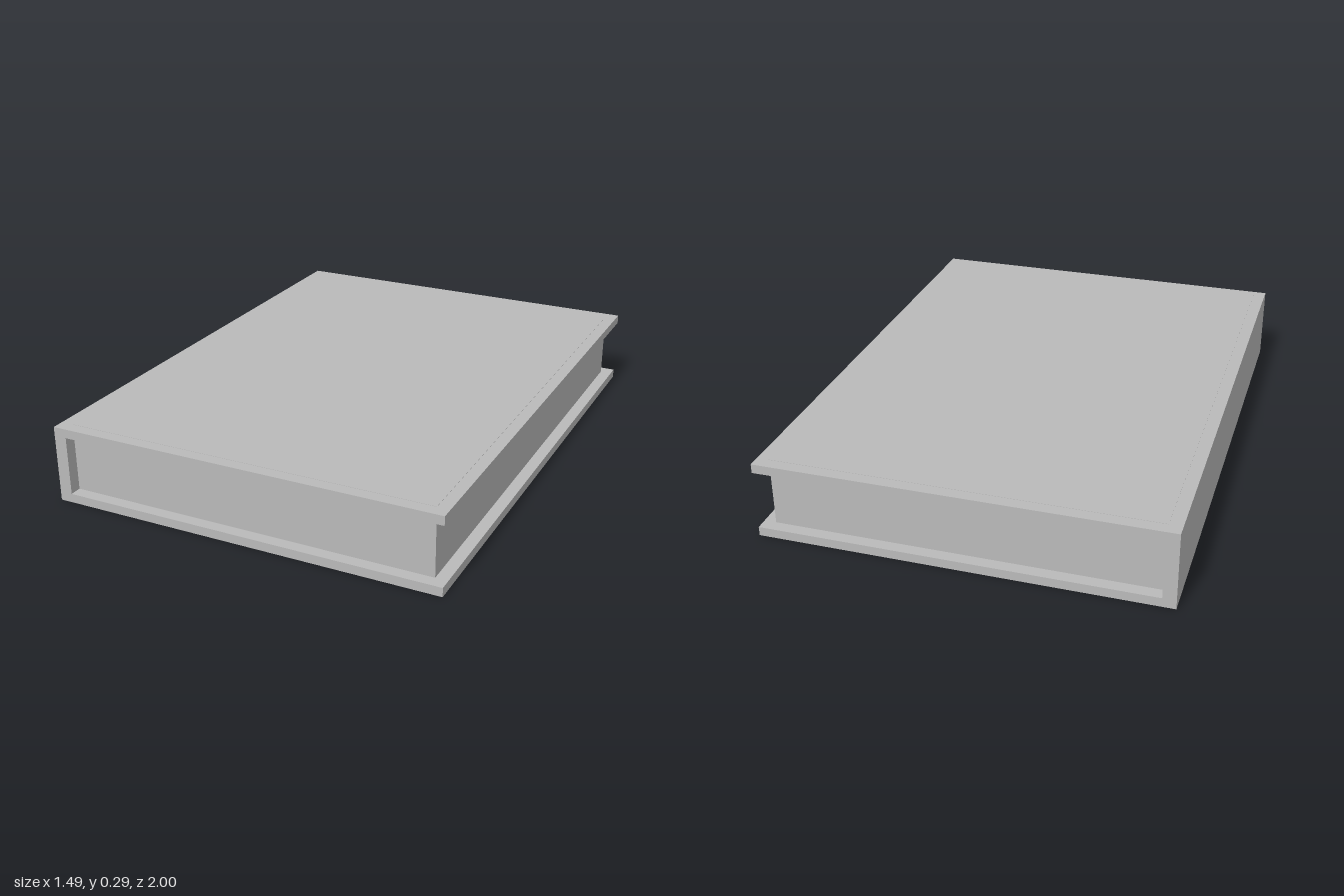
import * as THREE from 'three';

export function createModel() {
  const book = new THREE.Group();
  book.name = 'book';
  const grey = new THREE.MeshStandardMaterial({ color: 0xbababa });
  grey.name = 'plain grey';

  const W = 0.745, H = 0.29, D = 1;      // half width, height, half depth
  const board = 0.034, spineX = -0.697, pageX = 0.70, pageZ = 0.955;

  const add = (name, geometry, x, y, z) => {
    const mesh = new THREE.Mesh(geometry, grey);
    mesh.name = name;
    mesh.position.set(x, y, z);
    book.add(mesh);
  };

  // Cover: two boards joined by the spine, a C-shaped profile drawn along z
  const profile = new THREE.Shape([
    [-W, 0], [W, 0], [W, board], [spineX, board],
    [spineX, H - board], [W, H - board], [W, H], [-W, H],
  ].map(([x, y]) => new THREE.Vector2(x, y)));
  add('cover', new THREE.ExtrudeGeometry(profile, { depth: 2 * D, bevelEnabled: false }), 0, 0, -D);

  // Page block, set back from the cover's open edges
  add('pages', new THREE.BoxGeometry(pageX - spineX, H - 2 * board, 2 * pageZ),
    (pageX + spineX) / 2, H / 2, 0);

  // Thin panel on the front board
  add('coverPanel', new THREE.BoxGeometry(pageX - spineX, 0.002, 2 * pageZ),
    (pageX + spineX) / 2, H, 0);

  return book;
}
